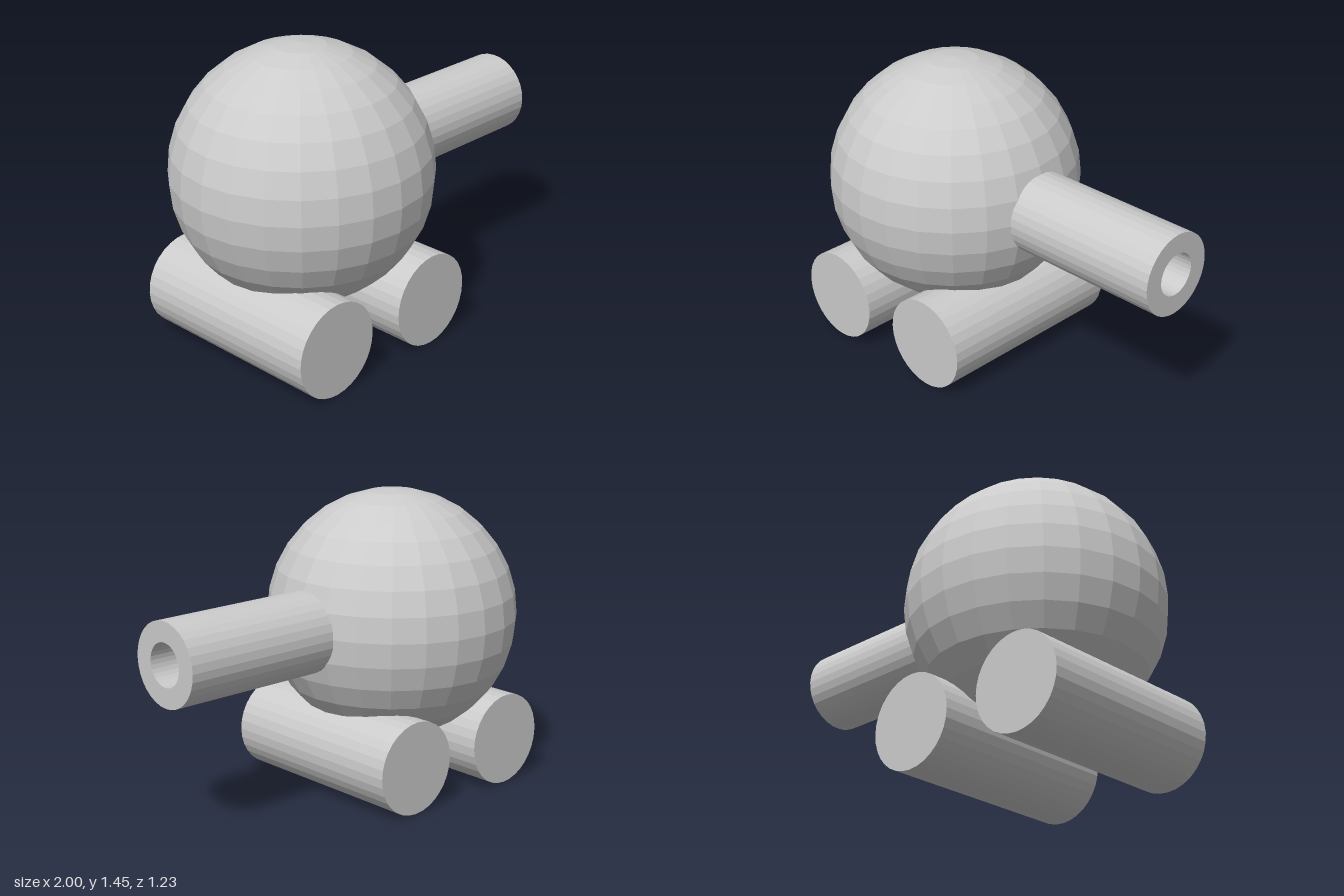
import * as THREE from 'three';

export function createModel() {
  const model = new THREE.Group();
  const material = new THREE.MeshStandardMaterial({ color: 0xcccccc, flatShading: true });

  function add(name, geometry, x, y, z) {
    const mesh = new THREE.Mesh(geometry, material);
    mesh.name = name;
    mesh.position.set(x, y, z);
    model.add(mesh);
    return mesh;
  }

  const centreX = -0.386;
  const centreY = 0.838;

  // Faceted ball body
  add('body', new THREE.SphereGeometry(0.614, 24, 16), centreX, centreY, 0);

  // Barrel with a blind bore, starting inside the body and pointing to +x
  const barrelStart = 0.1;
  const length = 1 - barrelStart;
  const profile = [
    [0.198, 0], [0.198, length], [0.102, length], [0.102, 0.2], [0, 0.2],
  ].map(([r, h]) => new THREE.Vector2(r, h));
  add('barrel', new THREE.LatheGeometry(profile, 32), barrelStart, centreY, 0)
    .rotation.z = -Math.PI / 2;

  // Two rollers lying along z under the body
  const radius = 0.227;
  for (const [name, x] of [['rightRoller', -0.697], ['leftRoller', -0.07]]) {
    add(name, new THREE.CylinderGeometry(radius, radius, 1.01, 32), x, radius, 0.015)
      .rotation.x = Math.PI / 2;
  }

  return model;
}
